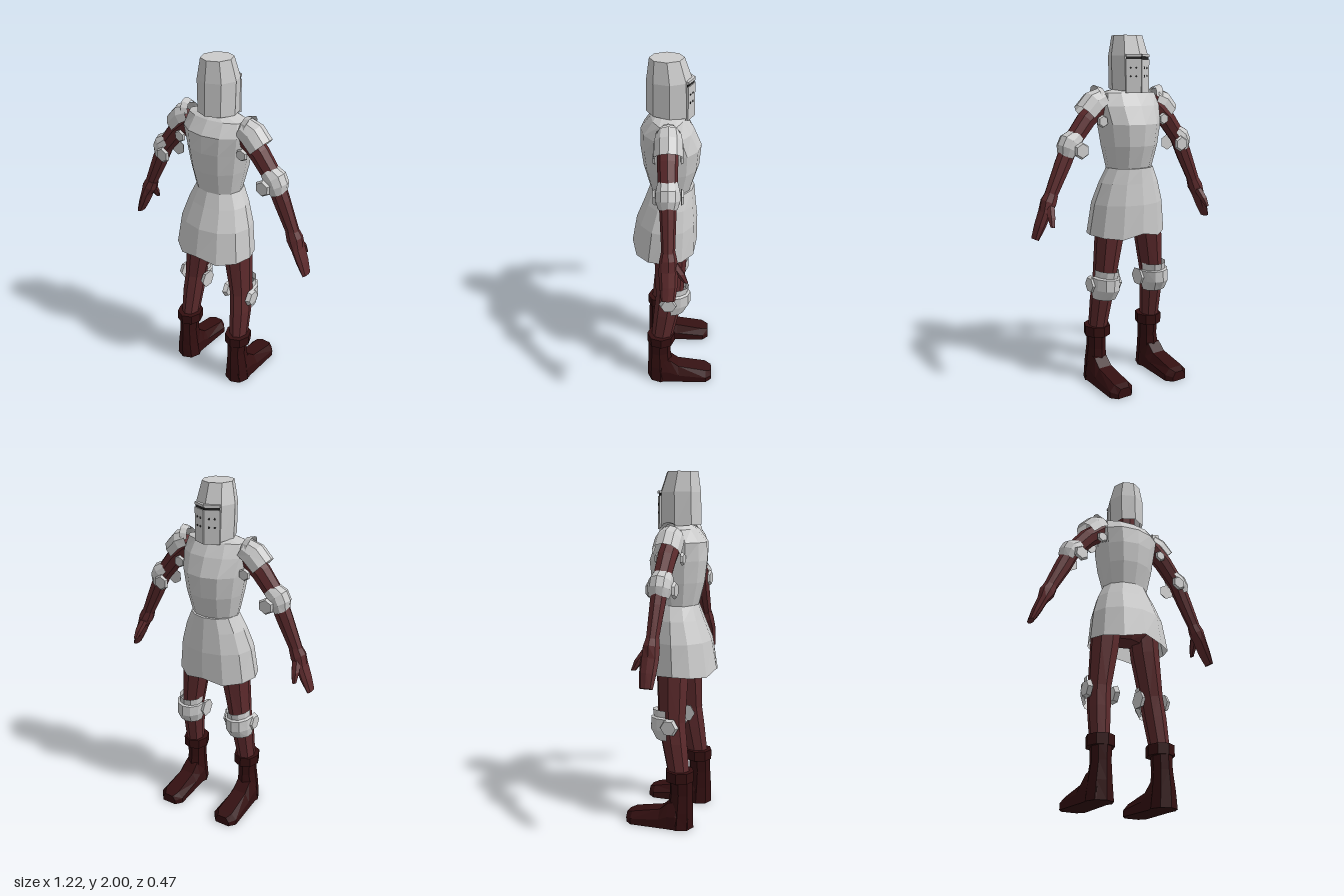
import * as THREE from 'three';

const TAU = Math.PI * 2;
const mat = (color, side = THREE.FrontSide) => new THREE.MeshStandardMaterial({ color, flatShading: true, side });
const steel = mat(0xcccccc), shellSteel = mat(0xcccccc, THREE.DoubleSide);
const cloth = mat(0x5c2a2c), leather = mat(0x330f10), dark = mat(0x222222);

function mesh(parent, name, geometry, material) {
  const m = new THREE.Mesh(geometry, material);
  m.name = name;
  parent.add(m);
  return m;
}

// Elliptical rings set across a path; each section is [x, y, z, radius across, radius in z]
function rings(sections, n, a0 = 0, a1 = TAU) {
  const full = a1 - a0 > TAU - 0.01;
  return sections.map(([x, y, z, ra, rz], i) => {
    const p = sections[Math.max(i - 1, 0)], q = sections[Math.min(i + 1, sections.length - 1)];
    const dx = q[0] - p[0], dy = q[1] - p[1], l = Math.hypot(dx, dy);
    return Array.from({ length: full ? n : n + 1 }, (_, k) => {
      const a = a0 + (a1 - a0) * k / n, c = Math.cos(a) * ra;
      return new THREE.Vector3(x - dy / l * c, y + dx / l * c, z + Math.sin(a) * rz);
    });
  });
}

// Skin a list of rings, mirror if wanted, and turn the faces outward
function loft(loops, { s = 1, closed = true, capStart = true, capEnd = true } = {}) {
  const tris = [];
  const n = loops[0].length, m = closed ? n : n - 1;
  for (let i = 0; i < loops.length - 1; i++) for (let k = 0; k < m; k++) {
    const a = loops[i][k], b = loops[i][(k + 1) % n], c = loops[i + 1][(k + 1) % n], d = loops[i + 1][k];
    tris.push([a, b, c], [a, c, d]);
  }
  const cap = (r, flip) => {
    const c = r.reduce((t, p) => t.add(p), new THREE.Vector3()).divideScalar(n);
    r.forEach((p, k) => tris.push(flip ? [c, r[(k + 1) % n], p] : [c, p, r[(k + 1) % n]]));
  };
  if (closed && capStart) cap(loops[0], true);
  if (closed && capEnd) cap(loops[loops.length - 1], false);
  const mid = loops.flat().reduce((t, p) => t.add(p), new THREE.Vector3()).divideScalar(n * loops.length);
  let vol = 0;
  for (const [a, b, c] of tris)
    vol += a.clone().sub(mid).dot(b.clone().sub(mid).cross(c.clone().sub(mid)));
  const out = [];
  for (const [a, b, c] of tris)
    for (const p of (vol * s < 0 ? [a, c, b] : [a, b, c])) out.push(p.x * s, p.y, p.z);
  const g = new THREE.BufferGeometry();
  g.setAttribute('position', new THREE.Float32BufferAttribute(out, 3));
  g.computeVertexNormals();
  return g;
}

// Small six-sided guard plate facing along x or z
function guard(parent, name, x, y, z, r, axis, thick = 0.014) {
  const g = new THREE.CylinderGeometry(r * 0.8, r, thick, 6);
  if (axis === 'x') g.rotateZ(x > 0 ? -Math.PI / 2 : Math.PI / 2);
  else g.rotateX(z > 0.03 ? Math.PI / 2 : -Math.PI / 2);
  mesh(parent, name, g, steel).position.set(x, y, z);
}

function addBody(root) {
  mesh(root, 'breastplate', loft(rings([
    [0, 1.26, 0.012, 0.135, 0.112], [0, 1.40, 0.008, 0.165, 0.152], [0, 1.52, 0.01, 0.185, 0.165],
    [0, 1.62, 0.03, 0.2, 0.142], [0, 1.69, 0.027, 0.18, 0.09], [0, 1.715, 0.025, 0.07, 0.06]], 12)), steel);

  // Flared skirt with a scalloped hem
  const skirt = rings([[0, 1.275, 0.003, 0.138, 0.123], [0, 1.19, 0.015, 0.18, 0.142],
    [0, 1.07, 0.033, 0.218, 0.173], [0, 0.9, 0.048, 0.242, 0.188]], 12);
  for (const p of skirt[3]) p.y = 0.872 + 0.055 * Math.abs(Math.abs(p.x) / 0.242 - 0.6);
  mesh(root, 'skirt', loft(skirt, { capEnd: false }), shellSteel);
  mesh(root, 'hips', loft(rings([[0, 1.2, 0.01, 0.13, 0.1], [0, 1.0, 0.02, 0.19, 0.11], [0, 0.93, 0.02, 0.09, 0.07]], 8)), cloth);
  mesh(root, 'neck', loft(rings([[0, 1.66, 0.02, 0.06, 0.06], [0, 1.8, 0.02, 0.06, 0.06]], 8)), cloth);
}

function addHelmet(root) {
  const helmet = new THREE.Group();
  helmet.name = 'helmet';
  root.add(helmet);
  const loops = rings([[0, 1.705, 0.018, 0.104, 0.122], [0, 1.89, 0.018, 0.11, 0.118], [0, 2, 0.03, 0.085, 0.09]], 8);
  for (const p of loops[0]) p.y += p.z * 0.08;
  mesh(helmet, 'helmetShell', loft(loops, { capStart: false }), shellSteel);

  // Two visor plates meeting in a ridge, with sight slit and breathing holes
  for (const s of [1, -1]) {
    const visor = new THREE.Group();
    visor.name = 'visor';
    visor.position.set(s * 0.036, 1.79, -0.088);
    visor.rotation.y = -s * 0.464;
    helmet.add(visor);
    mesh(visor, 'visorPlate', new THREE.BoxGeometry(0.084, 0.18, 0.018), steel).position.y = -0.01;
    mesh(visor, 'sightSlit', new THREE.BoxGeometry(0.08, 0.02, 0.008), dark).position.y = 0.087;
    mesh(visor, 'browPlate', new THREE.BoxGeometry(0.084, 0.014, 0.02), steel).position.y = 0.101;
    const hole = new THREE.CylinderGeometry(0.006, 0.006, 0.004, 8).rotateX(Math.PI / 2);
    for (const x of [-0.014, 0.016]) for (const y of [-0.01, 0.035])
      mesh(visor, 'breathingHole', hole, dark).position.set(x, y, -0.009);
  }
}

function addArm(root, s) {
  const arm = new THREE.Group();
  arm.name = s > 0 ? 'leftArm' : 'rightArm';
  root.add(arm);
  mesh(arm, 'sleeve', loft(rings([
    [0.17, 1.63, 0.03, 0.06, 0.055], [0.27, 1.545, 0.03, 0.056, 0.054], [0.37, 1.42, 0.03, 0.05, 0.048],
    [0.42, 1.31, 0.03, 0.049, 0.042], [0.505, 1.13, 0.03, 0.036, 0.034]], 8), { s }), cloth);
  mesh(arm, 'hand', loft(rings([
    [0.488, 1.16, 0.03, 0.038, 0.036], [0.51, 1.115, 0.03, 0.046, 0.046], [0.535, 1.06, 0.03, 0.03, 0.05],
    [0.565, 0.99, 0.03, 0.026, 0.046], [0.595, 0.92, 0.032, 0.015, 0.036]], 8), { s }), cloth);
  mesh(arm, 'thumb', loft(rings([
    [0.51, 1.1, 0.01, 0.026, 0.03], [0.525, 1.045, -0.03, 0.024, 0.026], [0.535, 0.995, -0.06, 0.013, 0.012]], 6), { s }), cloth);

  // Layered shoulder guard and elbow cop, open on the inner side
  const shell = (name, sections, a) =>
    mesh(arm, name, loft(rings(sections, 6, -a, a), { s, closed: false }), shellSteel);
  shell('shoulderGuard', [[0.165, 1.65, 0.025, 0.072, 0.068], [0.215, 1.625, 0.025, 0.085, 0.078],
    [0.27, 1.57, 0.027, 0.08, 0.078]], 1.75);
  shell('shoulderCollar', [[0.165, 1.665, 0.025, 0.06, 0.05], [0.2, 1.655, 0.025, 0.082, 0.064]], 1.5);
  shell('elbowCop', [[0.325, 1.46, 0.03, 0.055, 0.055], [0.36, 1.425, 0.03, 0.076, 0.066],
    [0.378, 1.39, 0.03, 0.074, 0.066], [0.395, 1.35, 0.03, 0.05, 0.052]], 1.8);
  for (const z of [-0.045, 0.1]) {
    guard(arm, 'armpitGuard', s * 0.205, 1.54, z, 0.036, 'z');
    guard(arm, 'elbowWing', s * 0.338, 1.388, z, 0.048, 'z');
  }
}

function addLeg(root, s) {
  const leg = new THREE.Group();
  leg.name = s > 0 ? 'leftLeg' : 'rightLeg';
  root.add(leg);
  mesh(leg, 'trouser', loft(rings([
    [0.12, 1.06, 0.015, 0.085, 0.095], [0.135, 0.88, 0.015, 0.08, 0.093], [0.168, 0.62, 0.022, 0.06, 0.08],
    [0.178, 0.5, 0.04, 0.06, 0.076], [0.188, 0.31, 0.07, 0.05, 0.064]], 8), { s }), cloth);

  // Knee cop wraps the front of the leg, with a wing on each side
  mesh(leg, 'kneeCop', loft(rings([
    [0.165, 0.69, 0, 0.07, 0.092], [0.168, 0.65, 0, 0.07, 0.085], [0.17, 0.645, 0.005, 0.084, 0.105],
    [0.173, 0.58, 0.01, 0.084, 0.112], [0.177, 0.52, 0.01, 0.07, 0.075]], 6, Math.PI * 0.97, Math.PI * 2.03),
    { s, closed: false }), shellSteel);
  guard(leg, 'kneeWing', s * 0.25, 0.605, 0.03, 0.055, 'x', 0.025);
  guard(leg, 'kneeWing', s * 0.085, 0.6, 0.03, 0.055, 'x', 0.025);

  // Boot: cuff, shaft and a foot tapering to the toe
  mesh(leg, 'bootCuff', loft(rings([[0.186, 0.34, 0.075, 0.077, 0.084], [0.186, 0.28, 0.075, 0.077, 0.084]], 8), { s }), leather);
  mesh(leg, 'bootShaft', loft(rings([[0.187, 0.29, 0.083, 0.055, 0.068], [0.188, 0.2, 0.085, 0.053, 0.068],
    [0.192, 0.1, 0.083, 0.065, 0.075], [0.192, 0, 0.08, 0.077, 0.08]], 8), { s }), leather);
  const foot = [[0.14, 0.045, 0.1], [0.07, 0.068, 0.16], [0.02, 0.068, 0.15], [-0.03, 0.07, 0.105], [-0.2, 0.076, 0.07], [-0.238, 0.045, 0.055]]
    .map(([z, w, h]) => [[-1, 0], [-1, 0.5], [-0.6, 1], [0.6, 1], [1, 0.5], [1, 0]]
      .map(([u, v]) => new THREE.Vector3(0.195 + u * w, v * h, z)));
  mesh(leg, 'bootFoot', loft(foot, { s }), leather);
}

export function createModel() {
  const root = new THREE.Group();
  root.name = 'armouredFigure';
  addBody(root);
  addHelmet(root);
  for (const s of [1, -1]) {
    addArm(root, s);
    addLeg(root, s);
  }
  return root;
}
